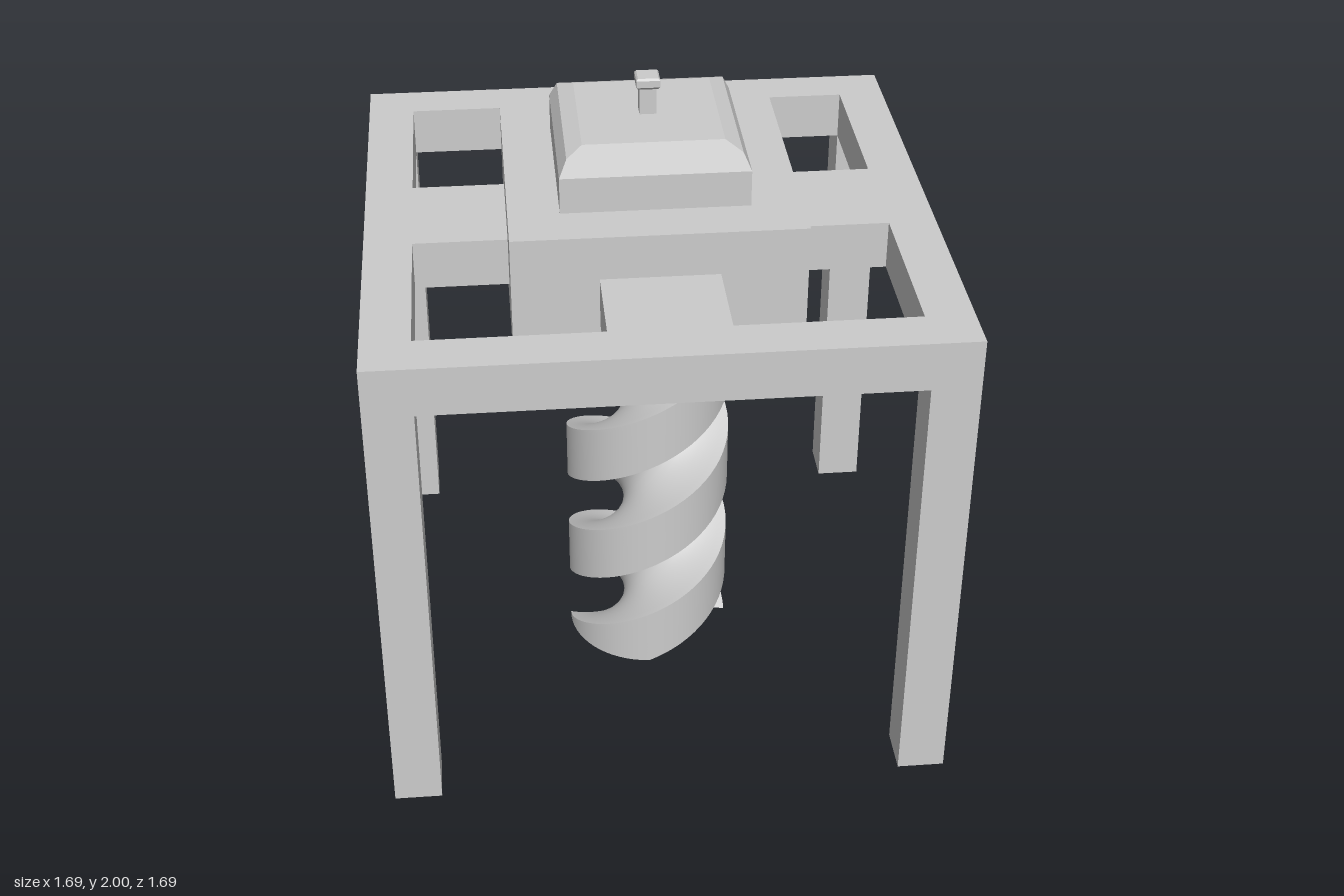
import * as THREE from 'three';
import { toCreasedNormals } from 'three/addons/utils/BufferGeometryUtils.js';

const smooth = new THREE.MeshStandardMaterial({ color: 0xcccccc });
const flat = new THREE.MeshStandardMaterial({ color: 0xcccccc, flatShading: true });

function add(group, name, geometry, material = flat) {
  const mesh = new THREE.Mesh(geometry, material);
  mesh.name = name;
  group.add(mesh);
  return mesh;
}

// Box given by its half widths and its bottom and top heights
function box(hx, hz, y0, y1) {
  return new THREE.BoxGeometry(hx * 2, y1 - y0, hz * 2).translate(0, (y0 + y1) / 2, 0);
}

// Square turned solid from [half width, height] points, bottom to top
function squareLathe(profile) {
  const points = profile.map(([w, y]) => new THREE.Vector2(w * Math.SQRT2, y));
  const geometry = new THREE.LatheGeometry(points, 4, Math.PI / 4).toNonIndexed();
  geometry.computeVertexNormals();
  return geometry;
}

// Flat frame with four square openings, leaving a cross in the middle
function frameGeometry(outer, holeIn, holeOut, y0, y1) {
  const rect = (path, x0, z0, x1, z1) =>
    path.moveTo(x0, z0).lineTo(x1, z0).lineTo(x1, z1).lineTo(x0, z1).closePath();
  const shape = new THREE.Shape();
  rect(shape, -outer, -outer, outer, outer);
  for (const sx of [-1, 1]) for (const sz of [-1, 1]) {
    const hole = new THREE.Path();
    rect(hole, sx * holeIn, sz * holeIn, sx * holeOut, sz * holeOut);
    shape.holes.push(hole);
  }
  return new THREE.ExtrudeGeometry(shape, { depth: y1 - y0, bevelEnabled: false })
    .rotateX(-Math.PI / 2).translate(0, y0, 0);
}

// Two-flute section: round lands joined by circular hollows, twisted upward
function drillGeometry(height, radius, pitch) {
  const half = Math.PI / 4, fluteAngle = -0.846, centre = 0.29;
  const fluteRadius = Math.hypot(radius * Math.sin(half), centre - radius * Math.cos(half));
  const sweep = Math.atan2(radius * Math.sin(half), centre - radius * Math.cos(half));
  const points = [], n = 16;
  for (let k = 0; k < 2; k++) {
    const a = fluteAngle + k * Math.PI;
    for (let i = 0; i < n; i++) { // hollow
      const t = Math.PI - sweep * (1 - 2 * i / n);
      const u = centre + fluteRadius * Math.cos(t), v = fluteRadius * Math.sin(t) * -1;
      const s = -v;
      points.push(new THREE.Vector2(u * Math.cos(a) + s * Math.sin(a), u * Math.sin(a) - s * Math.cos(a)));
    }
    for (let i = 0; i < n; i++) { // land
      const t = a + half + (Math.PI - 2 * half) * i / n;
      points.push(new THREE.Vector2(radius * Math.cos(t), radius * Math.sin(t)));
    }
  }
  const geometry = new THREE.ExtrudeGeometry(new THREE.Shape(points),
    { depth: height, steps: 100, bevelEnabled: false }).rotateX(-Math.PI / 2);
  const pos = geometry.attributes.position, p = new THREE.Vector3();
  const up = new THREE.Vector3(0, 1, 0);
  for (let i = 0; i < pos.count; i++) {
    p.fromBufferAttribute(pos, i);
    p.applyAxisAngle(up, 2 * Math.PI * p.y / pitch);
    pos.setXYZ(i, p.x, p.y, p.z);
  }
  return toCreasedNormals(geometry, 0.6);
}

export function createModel() {
  const model = new THREE.Group();
  model.name = 'drillRig';

  // Stand: frame and four legs
  add(model, 'topFrame', frameGeometry(0.845, 0.173, 0.703, 1.42, 1.57));
  for (const sx of [-1, 1]) for (const sz of [-1, 1]) {
    const leg = add(model, 'leg', box(0.071, 0.071, 0.02, 1.42));
    leg.position.set(sx * 0.774, 0, sz * 0.774);
  }

  // Drive housing and its bevelled cap
  add(model, 'housing', box(0.425, 0.425, 1.27, 1.705));
  add(model, 'cap', squareLathe([[0.275, 1.7], [0.275, 1.815], [0.252, 1.865], [0.205, 1.885], [0, 1.885]]));

  // Square knob on a stem
  add(model, 'knobStem', box(0.025, 0.025, 1.88, 1.975));
  add(model, 'knobHead', squareLathe([[0, 1.965], [0.028, 1.965], [0.035, 1.973], [0.035, 1.994], [0.03, 2], [0, 2]]));

  // Twisted drill bit
  add(model, 'drillBit', drillGeometry(1.28, 0.26, 0.78), smooth);
  return model;
}
